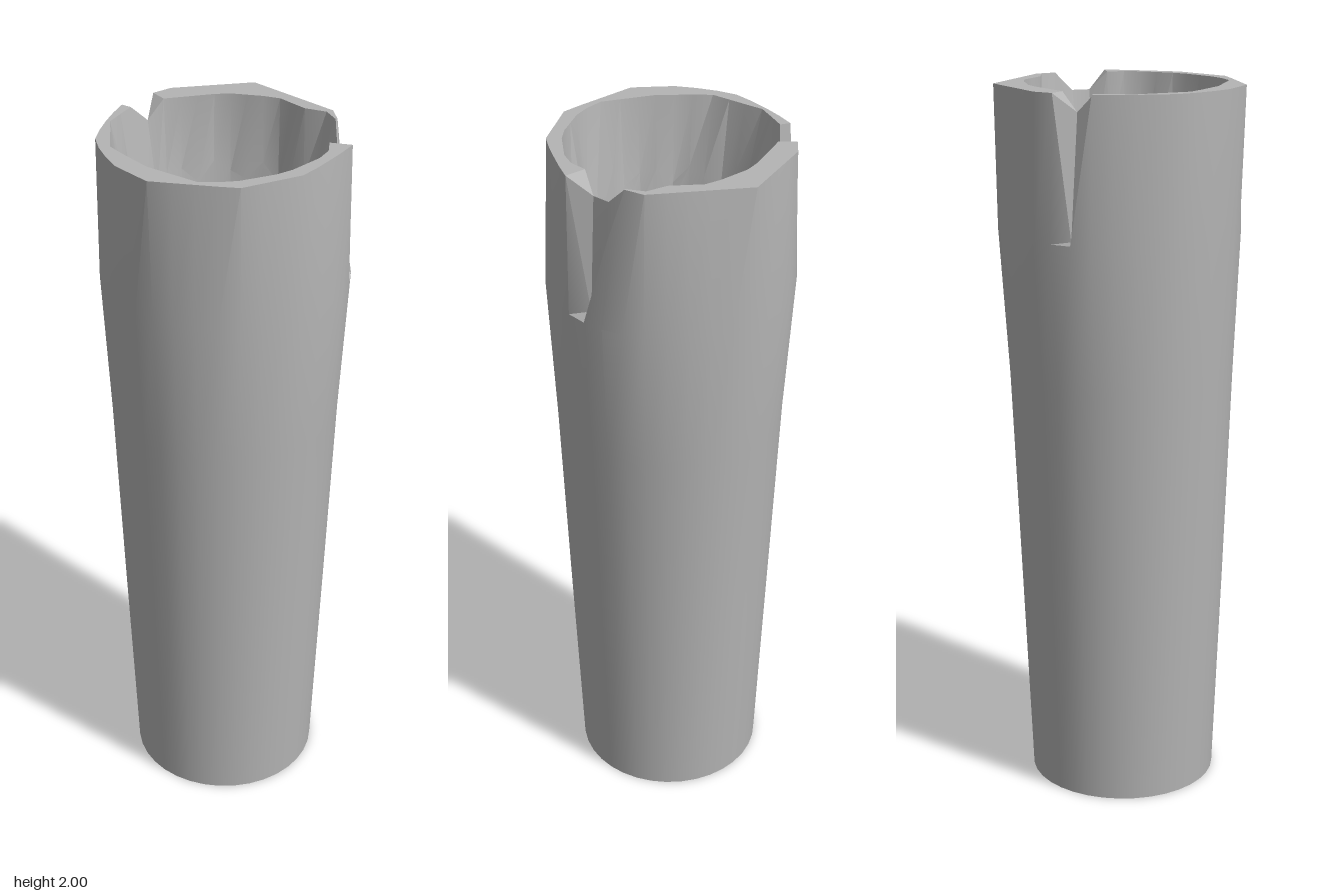
import * as THREE from 'three';
import { toCreasedNormals } from 'three/addons/utils/BufferGeometryUtils.js';

const COLUMNS = 36;

// Coarse outlines of the broken top, as [x, z] corners in order of angle
const RIM_OUTER = [[0.333, -0.01], [0.305, 0.07], [0.25, 0.2], [0.11, 0.312], [-0.12, 0.325], [-0.23, 0.25],
  [-0.31, 0.13], [-0.318, 0.03], [-0.31, -0.1], [-0.285, -0.16], [-0.21, -0.25], [0, -0.34], [0.245, -0.2], [0.295, -0.06]];
const RIM_INNER = [[0.27, 0], [0.28, 0.07], [0.2, 0.2], [0.08, 0.285], [0, 0.3], [-0.14, 0.245], [-0.26, 0.155],
  [-0.29, 0.05], [-0.305, 0], [-0.28, -0.1], [-0.22, -0.17], [-0.06, -0.25], [0.08, -0.255], [0.18, -0.19], [0.245, -0.19], [0.285, -0.06]];

// Chips in the outer wall: column number -> height of the broken edge
const CHIPS = { 35: 1.63, 34: 1.85, 21: 1.62 };

// Where a ray from the axis at this angle meets the outline
function onOutline(outline, angle) {
  const dx = Math.cos(angle), dz = Math.sin(angle);
  for (let i = 0; i < outline.length; i++) {
    const [px, pz] = outline[i], [qx, qz] = outline[(i + 1) % outline.length];
    const a = dx * pz - dz * px, b = dx * qz - dz * qx;
    if (a <= 0 && b > 0 && dx * px + dz * pz > 0) {
      const t = a / (a - b);
      return [px + (qx - px) * t, pz + (qz - pz) * t];
    }
  }
  return [dx * 0.3, dz * 0.3];
}

// A ring is a function from column number to a point
const circle = (radius, y, cz = 0) => (j) => {
  const a = (j / COLUMNS) * Math.PI * 2;
  return [radius * Math.cos(a), y, cz + radius * Math.sin(a)];
};

const rimOuter = (j) => {
  const y = CHIPS[j] ?? 2;
  const [x, z] = onOutline(RIM_OUTER, (j / COLUMNS) * Math.PI * 2);
  return [x, y, z];
};

const rimInner = (j) => {
  const [x, z] = onOutline(RIM_INNER, (j / COLUMNS) * Math.PI * 2);
  return [x, CHIPS[j] ? 1.95 : 2, z];
};

// Uneven ledge inside the mouth
const ledge = (j) => circle(0.262 - 0.012 * (j % 3 === 0), 1.78 + 0.03 * Math.sin(j * 2.3), 0.005)(j);

// Skin between successive rings
function loft(rings, crease) {
  const positions = [];
  for (let r = 0; r < rings.length - 1; r++) {
    for (let j = 0; j < COLUMNS; j++) {
      const k = (j + 1) % COLUMNS;
      const a = rings[r](j), b = rings[r](k), c = rings[r + 1](j), d = rings[r + 1](k);
      positions.push(...a, ...c, ...b, ...b, ...c, ...d);
    }
  }
  const geometry = new THREE.BufferGeometry();
  geometry.setAttribute('position', new THREE.Float32BufferAttribute(positions, 3));
  return toCreasedNormals(geometry, crease);
}

export function createModel() {
  const group = new THREE.Group();
  group.name = 'brokenTube';
  const grey = new THREE.MeshStandardMaterial({ color: 0xb4b4b4 });
  grey.name = 'grey';

  const add = (name, rings, crease = 0.5) => {
    const mesh = new THREE.Mesh(loft(rings, crease), grey);
    mesh.name = name;
    group.add(mesh);
  };

  const outerFoot = circle(0.265, 0, 0.01);
  const innerFoot = circle(0.235, 0, 0.007);

  // Tapered outside, widest below the mouth
  add('outerWall', [outerFoot, circle(0.289, 0.6, 0.008), circle(0.312, 1.2, 0.005), circle(0.334, 1.61), rimOuter]);
  // Jagged top edge
  add('brokenRim', [rimOuter, rimInner], 0.2);
  // Mouth, ledge and bore
  add('innerWall', [rimInner, ledge, circle(0.245, 1.7, 0.007), innerFoot], 0.4);
  // Flat ring underneath
  add('footRing', [innerFoot, outerFoot]);

  return group;
}
